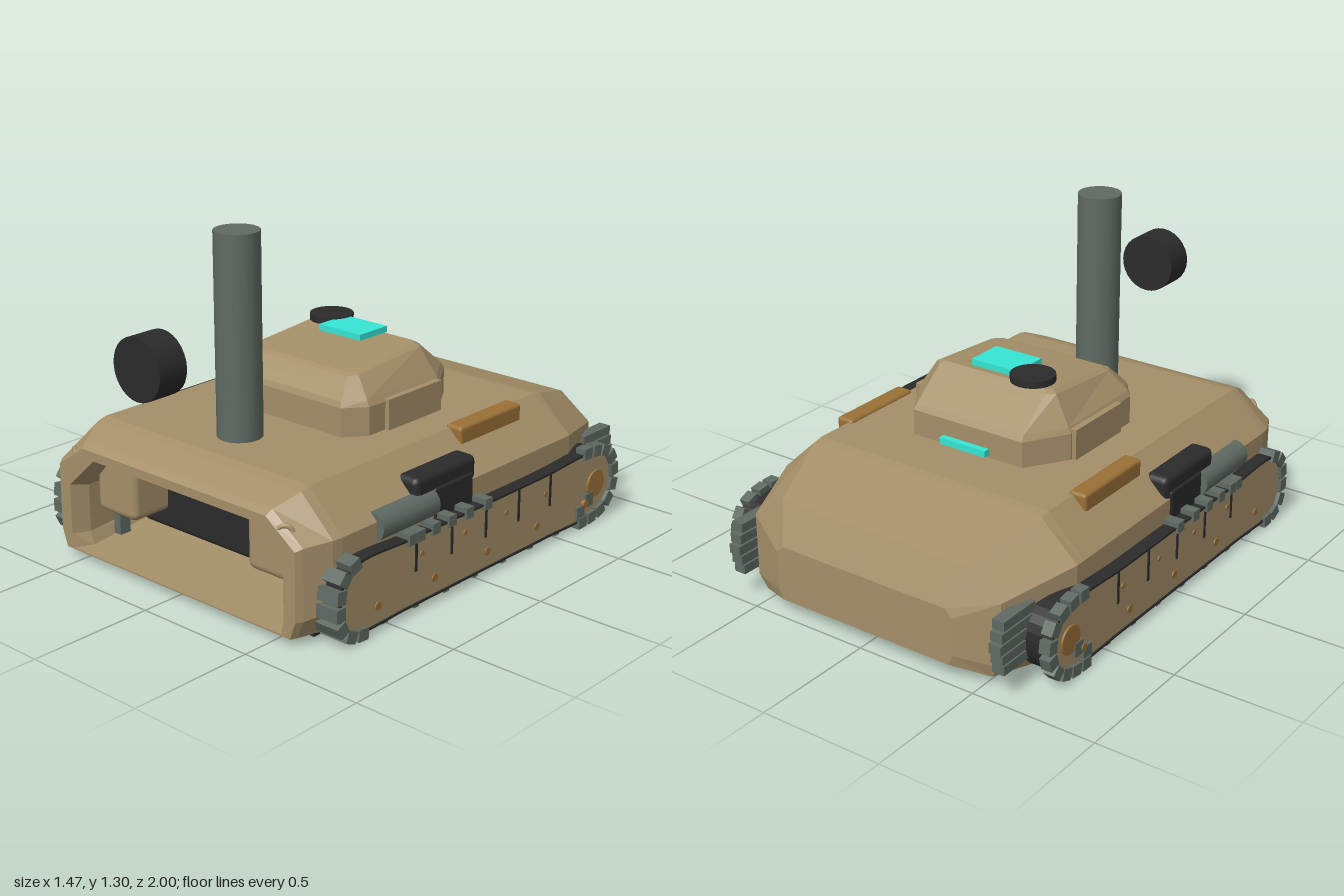
import * as THREE from 'three';
import { RoundedBoxGeometry } from 'three/addons/geometries/RoundedBoxGeometry.js';

const mat = (name, color) => {
  const m = new THREE.MeshStandardMaterial({ color });
  m.name = name;
  return m;
};

// Skin between rings of equal point count, closed by a fan at both ends
function loft(rings) {
  const pos = [];
  const tri = (...p) => p.forEach(v => pos.push(...v));
  const n = rings[0].length;
  const mid = r => [0, 1, 2].map(k => r.reduce((s, p) => s + p[k], 0) / n);
  const first = rings[0], last = rings[rings.length - 1];
  for (let i = 0; i < n; i++) {
    const j = (i + 1) % n;
    tri(mid(first), first[j], first[i]);
    tri(mid(last), last[i], last[j]);
    for (let r = 0; r < rings.length - 1; r++) {
      const a = rings[r], b = rings[r + 1];
      tri(a[i], a[j], b[j]);
      tri(a[i], b[j], b[i]);
    }
  }
  const g = new THREE.BufferGeometry();
  g.setAttribute('position', new THREE.Float32BufferAttribute(pos, 3));
  g.computeVertexNormals();
  return g;
}

export function createModel() {
  const tan = mat('tan armour', 0xa58f69);
  const dark = mat('dark rubber', 0x2b2b2b);
  const steel = mat('grey green steel', 0x5f6a62);
  const brown = mat('brown stowage', 0x9a7036);
  const teal = mat('teal glass', 0x34e6d6);
  const model = new THREE.Group();
  const add = (name, geo, material, x = 0, y = 0, z = 0, parent = model) => {
    const m = new THREE.Mesh(geo, material);
    m.name = name;
    m.position.set(x, y, z);
    parent.add(m);
    return m;
  };
  const box = (w, h, d) => new THREE.BoxGeometry(w, h, d);
  const rbox = (w, h, d, r) => new RoundedBoxGeometry(w, h, d, 2, r);

  // Hull: faceted shell that folds inward at the front to form an open bay
  const hullRing = (z, xb, yb, xm, yl, yu, xt, yt) => {
    const right = [[xb, yb, z], [xm, yl, z], [xm, yu, z], [xt, yt, z]];
    return [...right, ...right.map(p => [-p[0], p[1], z]).reverse()];
  };
  add('hull', loft([
    hullRing(-0.98, 0.38, 0.06, 0.40, 0.10, 0.25, 0.37, 0.28),
    hullRing(-0.915, 0.52, 0.03, 0.56, 0.08, 0.33, 0.42, 0.43),
    hullRing(-0.62, 0.65, 0.03, 0.67, 0.08, 0.38, 0.52, 0.52),
    hullRing(-0.58, 0.655, 0.03, 0.67, 0.08, 0.38, 0.52, 0.528),
    hullRing(0.70, 0.64, 0.03, 0.67, 0.10, 0.38, 0.52, 0.528),
    hullRing(0.74, 0.62, 0.03, 0.665, 0.12, 0.38, 0.52, 0.518),
    hullRing(0.84, 0.59, 0.03, 0.62, 0.10, 0.37, 0.48, 0.475),
    hullRing(0.865, 0.58, 0.03, 0.605, 0.10, 0.36, 0.47, 0.455),
    hullRing(0.865, 0.54, 0.036, 0.55, 0.09, 0.29, 0.41, 0.42),
    hullRing(0.80, 0.50, 0.04, 0.52, 0.09, 0.28, 0.40, 0.41),
    hullRing(0.35, 0.50, 0.09, 0.52, 0.12, 0.28, 0.40, 0.41),
  ]), tan);

  // Front bay contents
  add('bayBlock', rbox(0.86, 0.29, 0.22, 0.02), dark, 0, 0.25, 0.50);

  // Turret: octagonal rings, roof rising towards the rear
  const turretRing = (x, zs, zr, xf, zf, xr, zb, yf, yr) => {
    const p = [[x, zs], [x, zr], [xr, zb], [-xr, zb], [-x, zr], [-x, zs], [-xf, zf], [xf, zf]];
    return p.map(([a, z]) => [a, yf + (yr - yf) * THREE.MathUtils.clamp((zf - z) / (zf - zb), 0, 1), z]);
  };
  add('turret', loft([
    turretRing(0.355, 0.20, -0.20, 0.29, 0.283, 0.25, -0.36, 0.52, 0.52),
    turretRing(0.355, 0.20, -0.20, 0.29, 0.283, 0.25, -0.36, 0.64, 0.63),
    turretRing(0.343, 0.20, -0.20, 0.28, 0.274, 0.245, -0.346, 0.662, 0.652),
    turretRing(0.275, 0.17, -0.18, 0.25, 0.205, 0.245, -0.205, 0.733, 0.765),
    turretRing(0.255, 0.16, -0.17, 0.235, 0.185, 0.23, -0.19, 0.742, 0.776),
  ]), tan);
  add('roofHatchGlass', box(0.21, 0.024, 0.155), teal, 0.005, 0.797, -0.103);
  add('rearVisionSlit', box(0.21, 0.026, 0.04), teal, 0.005, 0.55, -0.366);
  add('roundHatch', new THREE.CylinderGeometry(0.086, 0.086, 0.026, 24), dark, -0.16, 0.8, -0.165);

  // Mast and the separate drum ahead of it
  add('mast', new THREE.CylinderGeometry(0.086, 0.086, 0.79, 18), steel, 0, 0.905, 0.51);
  const drum = add('drum', new THREE.CylinderGeometry(0.117, 0.117, 0.125, 28), dark, 0, 0.9, 0.9375);
  drum.rotation.x = Math.PI / 2;

  // Track path in the side plane: x is forward, y is up
  const path = new THREE.CatmullRomCurve3([
    [0.72, 0.035], [0.765, 0.08], [0.775, 0.16], [0.755, 0.25], [0.69, 0.295],
    [0.4, 0.295], [0, 0.295], [-0.4, 0.295], [-0.74, 0.3],
    [-0.825, 0.26], [-0.855, 0.17], [-0.825, 0.08], [-0.75, 0.035], [-0.4, 0.028], [0, 0.028], [0.4, 0.028],
  ].map(([z, y]) => new THREE.Vector3(z, y, 0)), true, 'centripetal');
  const outline = path.getSpacedPoints(110).slice(0, -1).map(p => new THREE.Vector2(p.x, p.y));
  const inset = outline.map(p => new THREE.Vector2(p.x * 0.985 - 0.001, 0.16 + (p.y - 0.16) * 0.94));
  const slab = (shape, depth) => new THREE.ExtrudeGeometry(shape, { depth, bevelEnabled: false })
    .translate(0, 0, -depth / 2).rotateY(-Math.PI / 2);
  const bandShape = new THREE.Shape(outline);
  bandShape.holes.push(new THREE.Path(inset));
  const bandGeo = slab(bandShape, 0.125);
  const skirtGeo = slab(new THREE.Shape(inset), 0.12);

  for (const s of [1, -1]) {
    const side = new THREE.Group();
    side.name = s > 0 ? 'leftSide' : 'rightSide';
    model.add(side);
    const put = (name, geo, material, x, y, z) => add(name, geo, material, s * x, y, z, side);

    // Running gear: pads around both ends, narrower at the rear
    put('trackBand', bandGeo, dark, 0.6625, 0, 0);
    put('sideSkirt', skirtGeo, tan, 0.659, 0, 0);
    const count = 58;
    for (let i = 0; i < count; i++) {
      const p = path.getPointAt(i / count), t = path.getTangentAt(i / count);
      if (Math.abs(p.x) < 0.64) continue;
      const rear = p.x < 0;
      const pad = put('trackPad', box(rear ? 0.045 : 0.15, 0.045, 0.05), steel, rear ? 0.7125 : 0.66, p.y, p.x);
      pad.rotation.x = -Math.atan2(t.y, t.x);
    }
    for (const z of [0.4, 0.355, 0.27, 0.18, 0.08, -0.03]) {
      put('upperTrackPad', box(0.07, 0.042, 0.042), steel, 0.7, 0.294, z);
    }
    for (let i = 0; i < 9; i++) {
      put('lowerTrackPad', box(0.25, 0.018, 0.028), steel, 0.595, 0.025, 0.7 - i * 0.17);
    }
    put('lowerTrackRail', box(0.025, 0.012, 1.32), dark, 0.6, 0.026, 0.12);
    for (let i = 0; i < 5; i++) {
      put('rearTrackBar', box(0.05, 0.036, 0.18), steel, 0.595, 0.12 + i * 0.043, -0.91 + Math.abs(i - 2) * 0.01);
    }
    for (const [y, z] of [[0.065, -0.635], [0.105, -0.69]]) {
      put('idlerLink', box(0.04, 0.055, 0.05), steel, 0.71, y, z);
    }
    const hub = put('sprocketHub', new THREE.CylinderGeometry(0.055, 0.055, 0.03, 20), brown, 0.712, 0.16, -0.735);
    hub.rotation.z = Math.PI / 2;

    // Skirt straps and rivets
    for (let i = 0; i < 5; i++) {
      put('skirtStrap', box(0.008, 0.135, 0.011), dark, 0.719, 0.225, 0.367 - i * 0.2);
      const low = put('lowerRivet', new THREE.CylinderGeometry(0.016, 0.016, 0.014, 10), brown,
        i === 4 ? 0.727 : 0.717, 0.097, 0.57 - i * 0.308);
      low.rotation.z = Math.PI / 2;
      if (i === 4) continue;
      const up = put('upperRivet', new THREE.CylinderGeometry(0.011, 0.011, 0.012, 8), brown, 0.718, 0.215, 0.335 - i * 0.246);
      up.rotation.z = Math.PI / 2;
    }

    // Stowage along the flanks
    put('brownBin', rbox(0.075, 0.075, 0.37, 0.014), brown, 0.537, 0.503, -0.245);
    put('darkBin', rbox(0.1, 0.1, 0.345, 0.025), dark, 0.619, 0.42, 0.135);
    put('darkBinBase', rbox(0.07, 0.12, 0.22, 0.01), dark, 0.642, 0.35, 0.1);
    const can = put('flankCanister', new THREE.CylinderGeometry(0.056, 0.056, 0.31, 16), steel, 0.645, 0.355, 0.365);
    can.rotation.x = Math.PI / 2;

    // Turret cheek, bay pod and lamp
    put('turretCheek', box(0.03, 0.125, 0.305), tan, 0.358, 0.585, -0.04);
    put('bayPod', rbox(0.21, 0.235, 0.24, 0.03), tan, 0.395, 0.295, 0.66);
    put('bayTrackLink', box(0.035, 0.11, 0.05), steel, 0.475, 0.115, 0.68);
    const lamp = put('lampRing', new THREE.TorusGeometry(0.028, 0.009, 8, 18), tan, 0.54, 0.404, 0.842);
    lamp.rotation.y = s * 0.6;
  }
  return model;
}
